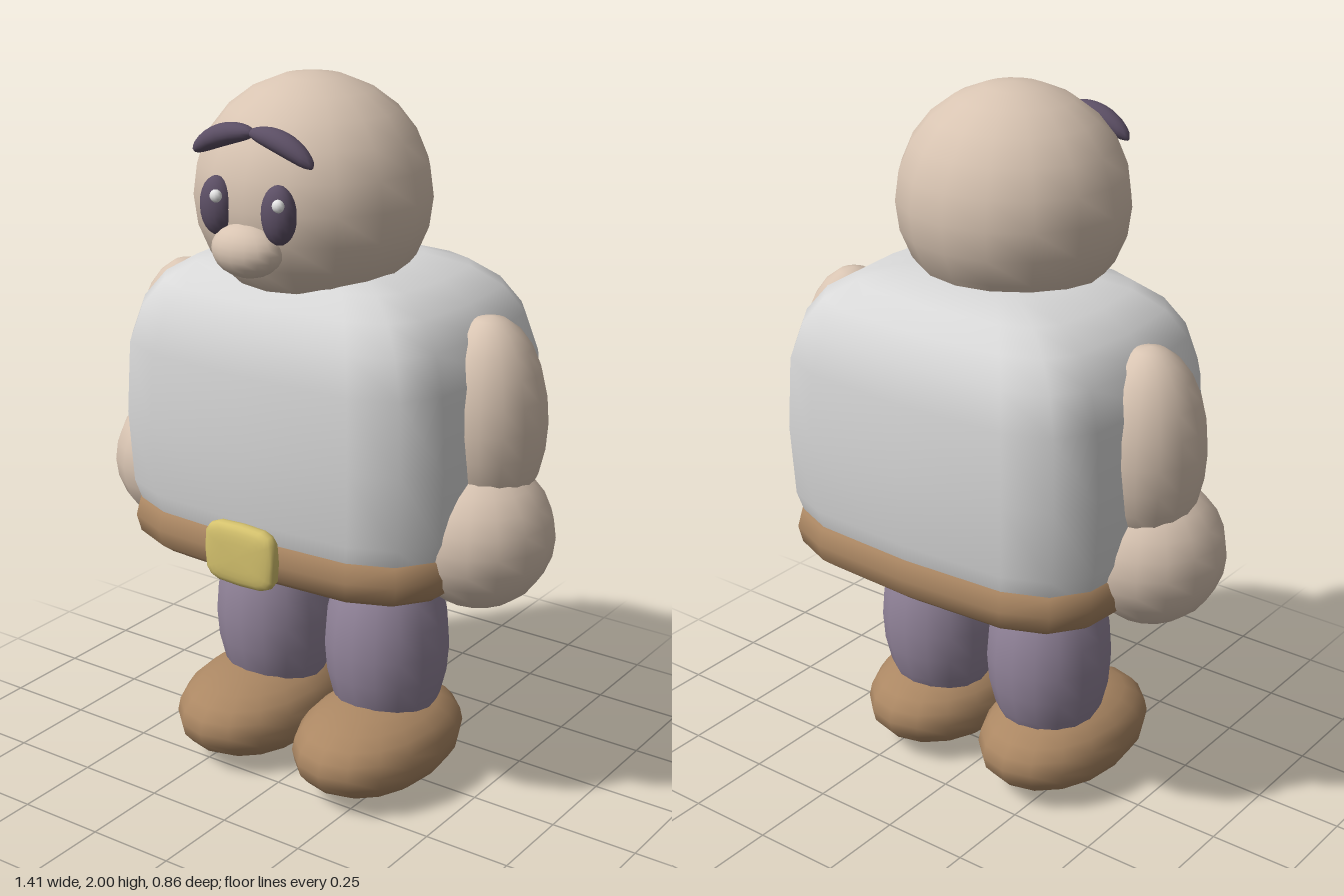
import * as THREE from 'three';
import { mergeVertices } from 'three/addons/utils/BufferGeometryUtils.js';

const material = (name, color) => {
  const m = new THREE.MeshStandardMaterial({ color });
  m.name = name;
  return m;
};

const spow = (v, e) => Math.sign(v) * Math.pow(Math.abs(v), e);

// Weld seams so that normals run smoothly round the form
function smooth(geo) {
  geo.deleteAttribute('uv');
  geo.deleteAttribute('normal');
  const g = mergeVertices(geo, 1e-4);
  g.computeVertexNormals();
  return g;
}

// Superellipsoid: eh squares the plan, ev squares the upright outline (1 = round)
function blob(rx, ry, rz, eh = 1, ev = 1, segs = 16, rings = 12) {
  const geo = new THREE.SphereGeometry(1, segs, rings);
  const p = geo.attributes.position;
  for (let i = 0; i < p.count; i++) {
    const x = p.getX(i), y = p.getY(i), z = p.getZ(i);
    const s = Math.hypot(x, z) || 1e-9;
    const r = Math.pow(s, ev);
    p.setXYZ(i, rx * spow(x / s, eh) * r, ry * spow(y, ev), rz * spow(z / s, eh) * r);
  }
  return smooth(geo);
}

// Rounded band following a squared oval
function band(rx, rz, thick, halfHeight, e, segs = 16, sides = 10) {
  const geo = new THREE.TorusGeometry(2, 1, sides, segs);
  const p = geo.attributes.position;
  for (let i = 0; i < p.count; i++) {
    const x = p.getX(i), y = p.getY(i), h = p.getZ(i);
    const d = Math.hypot(x, y), out = d - 2;
    const c = spow(x / d, e), s = spow(-y / d, e);
    p.setXYZ(i, c * (rx + out * thick), spow(h, 0.8) * halfHeight, s * (rz + out * thick));
  }
  return smooth(geo);
}

export function createModel() {
  const model = new THREE.Group();
  model.name = 'figure';
  const skin = material('skin', 0xd8c4b2);
  const shirt = material('shirt', 0xd8d8d8);
  const leather = material('leather', 0xab8763);
  const brass = material('brass', 0xd6c36e);
  const trousers = material('trousers', 0x92849a);
  const dark = material('dark', 0x5c4f65);
  const white = material('white', 0xf2f2f2);

  const add = (name, geo, mat, x, y, z) => {
    const mesh = new THREE.Mesh(geo, mat);
    mesh.name = name;
    mesh.position.set(x, y, z);
    model.add(mesh);
    return mesh;
  };

  // Body and belt
  add('torso', blob(0.54, 0.467, 0.413, 0.54, 0.62), shirt, 0, 1.053, -0.017);
  add('belt', band(0.47, 0.352, 0.055, 0.073, 0.54), leather, 0, 0.747, -0.018);
  const buckle = add('buckle', blob(0.116, 0.028, 0.088, 0.5, 0.6), brass, 0, 0.763, 0.402);
  buckle.rotation.x = Math.PI / 2;

  // Head and nose
  add('head', blob(0.323, 0.312, 0.308), skin, 0, 1.688, 0.07);
  add('nose', blob(0.102, 0.07, 0.07), skin, 0, 1.587, 0.36);

  // Eye glints sit on the same side of both eyes
  for (const x of [-0.075, 0.12]) {
    add('eyeGlint', blob(0.017, 0.017, 0.014, 1, 1, 10, 8), white, x, 1.723, 0.388);
  }

  for (const side of [1, -1]) {
    const label = side > 0 ? 'left' : 'right';

    // Face
    add(label + 'Eye', blob(0.049, 0.077, 0.04), dark, side * 0.097, 1.69, 0.354);
    const browGeo = blob(0.104, 0.029, 0.031);
    const p = browGeo.attributes.position;
    for (let i = 0; i < p.count; i++) {
      p.setY(i, p.getY(i) - 1.6 * p.getX(i) ** 2); // arch the brow
    }
    browGeo.computeVertexNormals();
    const brow = add(label + 'Brow', browGeo, dark, side * 0.095, 1.867, 0.333);
    brow.rotation.z = -side * 0.33;

    // Arm
    add(label + 'Arm', blob(0.157, 0.282, 0.16), skin, side * 0.5, 1.128, -0.015);
    add(label + 'Hand', blob(0.205, 0.205, 0.203), skin, side * 0.5, 0.82, 0.018);

    // Leg
    add(label + 'Leg', blob(0.178, 0.31, 0.178), trousers, side * 0.192, 0.41, -0.012);
    add(label + 'Shoe', blob(0.206, 0.13, 0.298, 0.95, 0.93), leather, side * 0.205, 0.133, 0.047);
  }
  return model;
}
